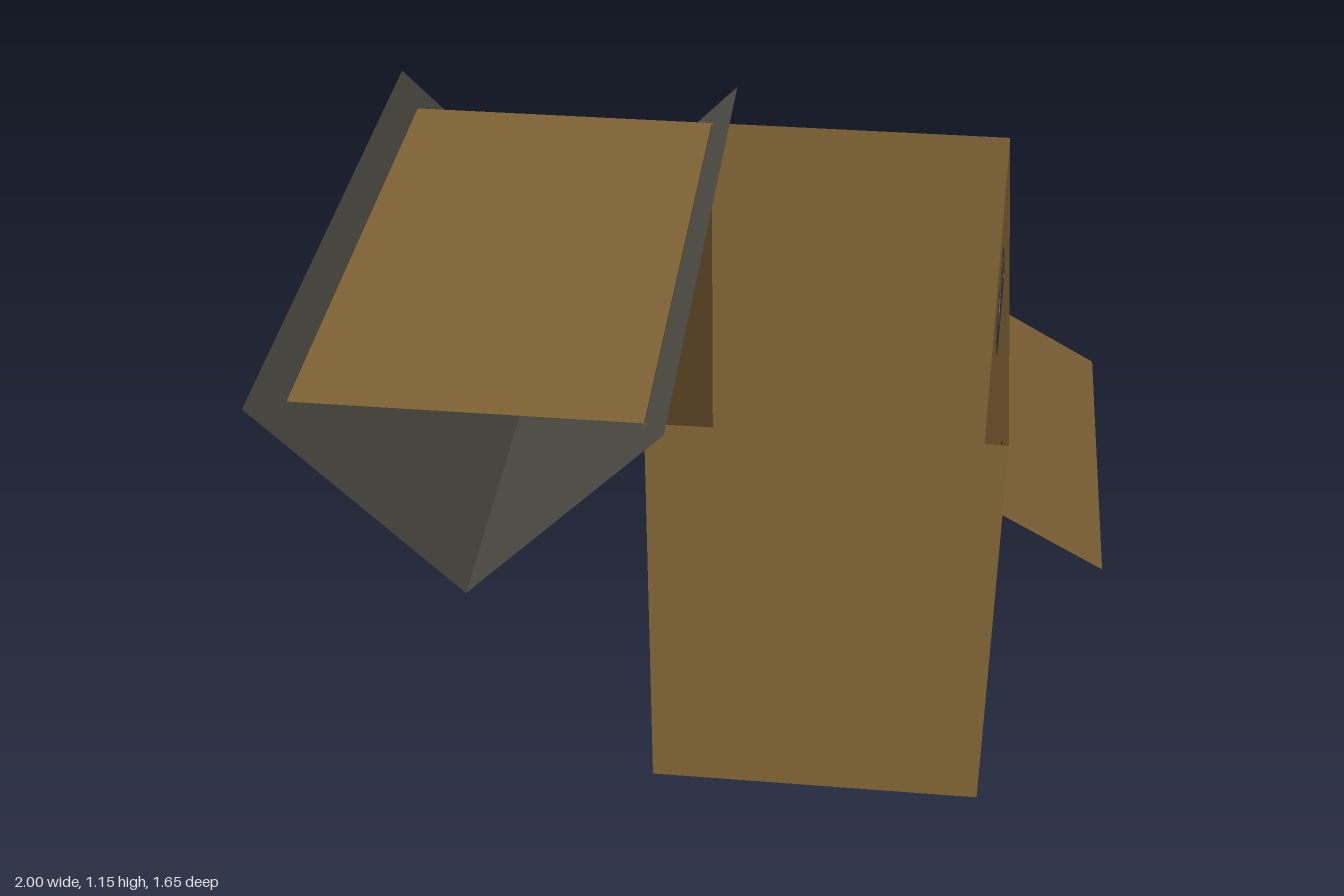
import * as THREE from 'three';

const mat = (name, color, side = THREE.FrontSide) => {
  const m = new THREE.MeshStandardMaterial({ color, side });
  m.name = name;
  return m;
};

export function createModel() {
  const group = new THREE.Group();
  group.name = 'openTopHouse';
  const cardboard = mat('cardboard', 0x806335, THREE.DoubleSide);
  const slate = mat('slate', 0x4a4a41, THREE.DoubleSide);
  const pane = mat('darkPane', 0x2d2d2e);

  // House outline: x range, wall height and half depth
  const X0 = -0.11, X1 = 0.71, H = 1.1, D = 0.71;

  const add = (parent, name, geometry, material) => {
    const mesh = new THREE.Mesh(geometry, material);
    mesh.name = name;
    parent.add(mesh);
    return mesh;
  };

  // Flat sheet swept along z between two (x, y) points
  const sheet = (parent, name, [xa, ya], [xb, yb], z0, z1, material) => {
    const g = new THREE.BufferGeometry();
    g.setAttribute('position', new THREE.Float32BufferAttribute(
      [xa, ya, z0, xa, ya, z1, xb, yb, z1, xb, yb, z0], 3));
    g.setIndex([0, 1, 2, 0, 2, 3]);
    g.computeVertexNormals();
    return add(parent, name, g, material);
  };

  // Open box: floor and four thin walls
  const box = new THREE.Group();
  box.name = 'houseBox';
  group.add(box);
  sheet(box, 'floor', [X0, 0], [X1, 0], -D, D, cardboard);
  sheet(box, 'hingeWall', [X0, H], [X0, 0], -D, D, cardboard);
  sheet(box, 'doorWall', [X1, 0], [X1, H], -D, D, cardboard);
  for (const side of [1, -1]) {
    const wall = add(box, side > 0 ? 'frontWall' : 'backWall',
      new THREE.PlaneGeometry(X1 - X0, H), cardboard);
    wall.position.set((X0 + X1) / 2, H / 2, side * D);
    if (side < 0) wall.rotation.y = Math.PI;
  }

  // Roof flipped open beside the box, with its ridge pointing down
  const roof = new THREE.Group();
  roof.name = 'openRoof';
  group.add(roof);
  const ridge = [-0.525, 0.66];
  sheet(roof, 'outerRoofSlope', [-1, 1.155], ridge, -0.825, 0.825, slate);
  sheet(roof, 'innerRoofSlope', ridge, [-0.05, 1.155], -0.825, 0.825, slate);
  sheet(roof, 'ceilingPanel', [-0.935, H], [X0, H], -D, D, cardboard);

  // Sloping awning over the door
  sheet(group, 'awning', [X1, 0.55], [1, 0.38], -D, 0.24, cardboard);

  // Thin plate set through the door wall, so it shows inside and out (u = -z, v = y)
  const plate = (parent, name, shape, depth, material) => {
    const g = new THREE.ExtrudeGeometry(shape, { depth, bevelEnabled: false, curveSegments: 6 });
    g.translate(0, 0, -depth / 2);
    g.rotateY(Math.PI / 2);
    g.translate(X1, 0, 0);
    return add(parent, name, g, material);
  };

  const roundedRect = (u0, u1, v0, v1, r) => {
    const s = new THREE.Shape();
    s.moveTo(u0 + r, v0);
    s.lineTo(u1 - r, v0).quadraticCurveTo(u1, v0, u1, v0 + r);
    s.lineTo(u1, v1 - r).quadraticCurveTo(u1, v1, u1 - r, v1);
    s.lineTo(u0 + r, v1).quadraticCurveTo(u0, v1, u0, v1 - r);
    s.lineTo(u0, v0 + r).quadraticCurveTo(u0, v0, u0 + r, v0);
    return s;
  };

  // Flared cross: arms of half width w, swelling towards the centre (cu, cv) by k
  const flaredCross = (u0, u1, v0, v1, cu, cv, w, k) => {
    const s = new THREE.Shape();
    s.moveTo(cu + w, v0);
    s.quadraticCurveTo(cu + k, cv - k, u1, cv - w).lineTo(u1, cv + w);
    s.quadraticCurveTo(cu + k, cv + k, cu + w, v1).lineTo(cu - w, v1);
    s.quadraticCurveTo(cu - k, cv + k, u0, cv + w).lineTo(u0, cv - w);
    s.quadraticCurveTo(cu - k, cv - k, cu - w, v0).lineTo(cu + w, v0);
    return s;
  };

  // Windows: extents, cross centre, arm half width, swelling
  const windows = [
    ['upperLeftWindow', -0.572, -0.392, 0.708, 0.89, -0.478, 0.81, 0.019, 0.024],
    ['lowerLeftWindow', -0.585, -0.375, 0.195, 0.408, -0.484, 0.305, 0.013, 0.024],
    ['upperRightWindow', 0.326, 0.48, 0.633, 0.9, 0.402, 0.748, 0.008, 0.012],
  ];
  for (const [name, u0, u1, v0, v1, cu, cv, w, k] of windows) {
    const win = new THREE.Group();
    win.name = name;
    group.add(win);
    plate(win, 'windowPane', roundedRect(u0, u1, v0, v1, 0.025), 0.005, pane);
    plate(win, 'windowCross', flaredCross(u0, u1, v0, v1, cu, cv, w, k), 0.009, slate);
  }

  // Door with a slight taper, and its knob
  const door = new THREE.Group();
  door.name = 'door';
  group.add(door);
  const leaf = new THREE.Shape([[-0.09, 0], [0.062, 0], [0.074, 0.25], [0.083, 0.39], [-0.1, 0.39]]
    .map(([u, v]) => new THREE.Vector2(u, v)));
  plate(door, 'doorLeaf', leaf, 0.005, pane);
  const knob = new THREE.Shape();
  knob.absellipse(0.052, 0.172, 0.019, 0.03, 0, Math.PI * 2, false, -0.35);
  plate(door, 'doorKnob', knob, 0.009, slate);

  return group;
}
